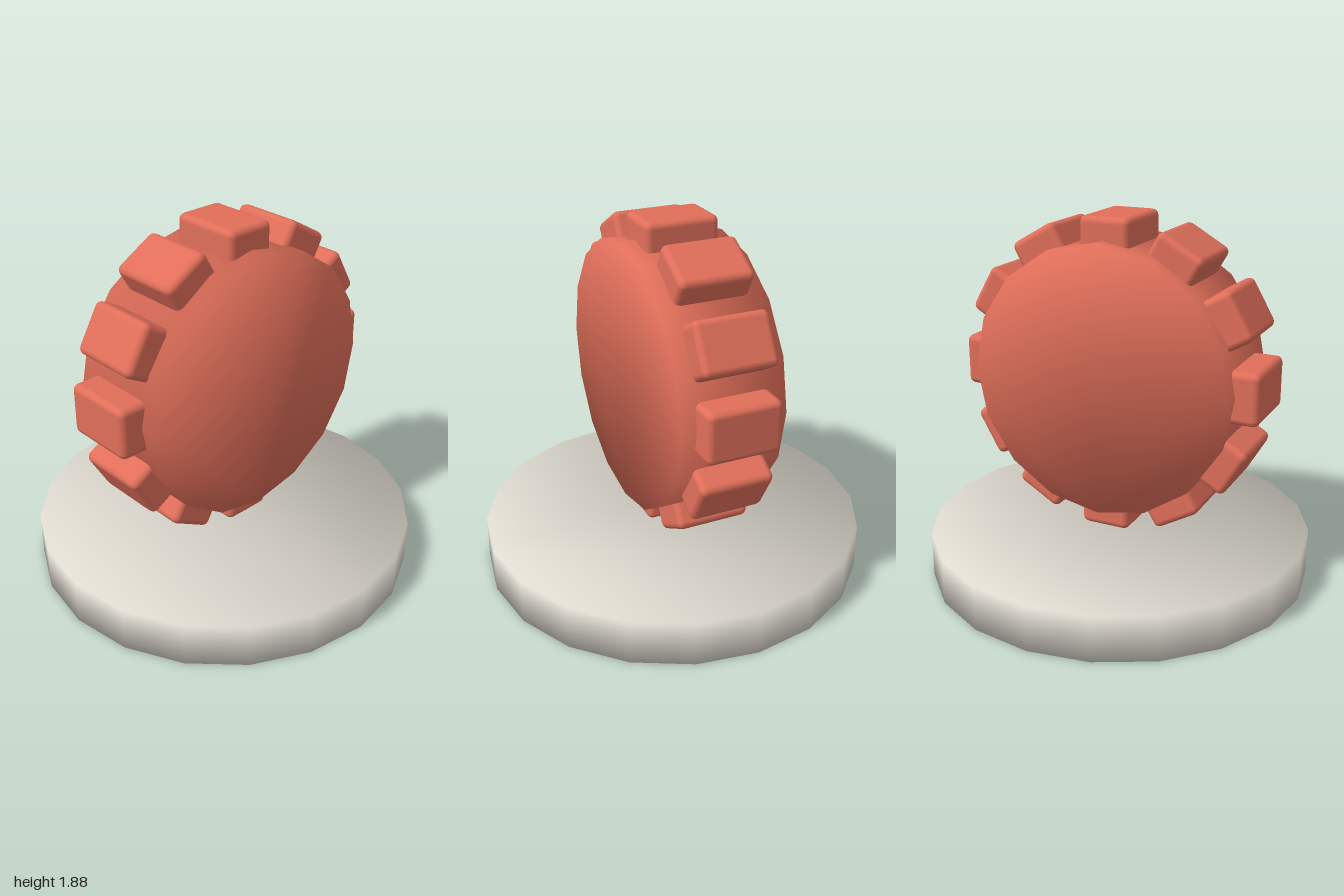
import * as THREE from 'three';
import { RoundedBoxGeometry } from 'three/addons/geometries/RoundedBoxGeometry.js';

// Low-sided disc along y whose normals are shared between rim and caps,
// giving soft shading across the flat faces.
function softDisc(radius, height, sides) {
  const positions = [], normals = [], index = [];
  const s = Math.SQRT1_2;
  for (const end of [-1, 1]) {
    for (let i = 0; i < sides; i++) {
      const a = (i / sides) * Math.PI * 2;
      const x = Math.sin(a), z = Math.cos(a);
      positions.push(x * radius, end * height / 2, z * radius);
      normals.push(x * s, end * s, z * s);
    }
  }
  for (let i = 0; i < sides; i++) {
    const j = (i + 1) % sides;
    index.push(i, j, sides + j, i, sides + j, sides + i);
    if (i > 0 && i < sides - 1) {
      index.push(0, j, i);                          // bottom cap
      index.push(sides, sides + i, sides + j);      // top cap
    }
  }
  const geo = new THREE.BufferGeometry();
  geo.setAttribute('position', new THREE.Float32BufferAttribute(positions, 3));
  geo.setAttribute('normal', new THREE.Float32BufferAttribute(normals, 3));
  geo.setIndex(index);
  return geo;
}

export function createModel() {
  const stone = new THREE.MeshStandardMaterial({ color: 0xdedad0 });
  stone.name = 'paleStone';
  const red = new THREE.MeshStandardMaterial({ color: 0xe06f5a });
  red.name = 'coralRed';

  const model = new THREE.Group();
  model.name = 'gearOnBase';

  // Round base
  const base = new THREE.Mesh(softDisc(1, 0.235, 20), stone);
  base.name = 'base';
  base.position.y = 0.1175;
  model.add(base);

  // Upright gear, floating just above the base
  const gear = new THREE.Group();
  gear.name = 'gear';
  gear.position.y = 1.08;
  model.add(gear);

  const hub = new THREE.Mesh(softDisc(0.69, 0.54, 16), red);
  hub.name = 'gearBody';
  hub.rotation.x = Math.PI / 2;
  gear.add(hub);

  // Twelve rounded teeth around the rim
  const toothGeo = new RoundedBoxGeometry(0.264, 0.264, 0.38, 2, 0.033);
  const teeth = 12, reach = 0.805 - 0.132;
  for (let i = 0; i < teeth; i++) {
    const a = (i / teeth) * Math.PI * 2;
    const tooth = new THREE.Mesh(toothGeo, red);
    tooth.name = 'tooth' + (i + 1);
    tooth.position.set(Math.sin(a) * reach, Math.cos(a) * reach, 0);
    tooth.rotation.z = -a;
    gear.add(tooth);
  }
  return model;
}
